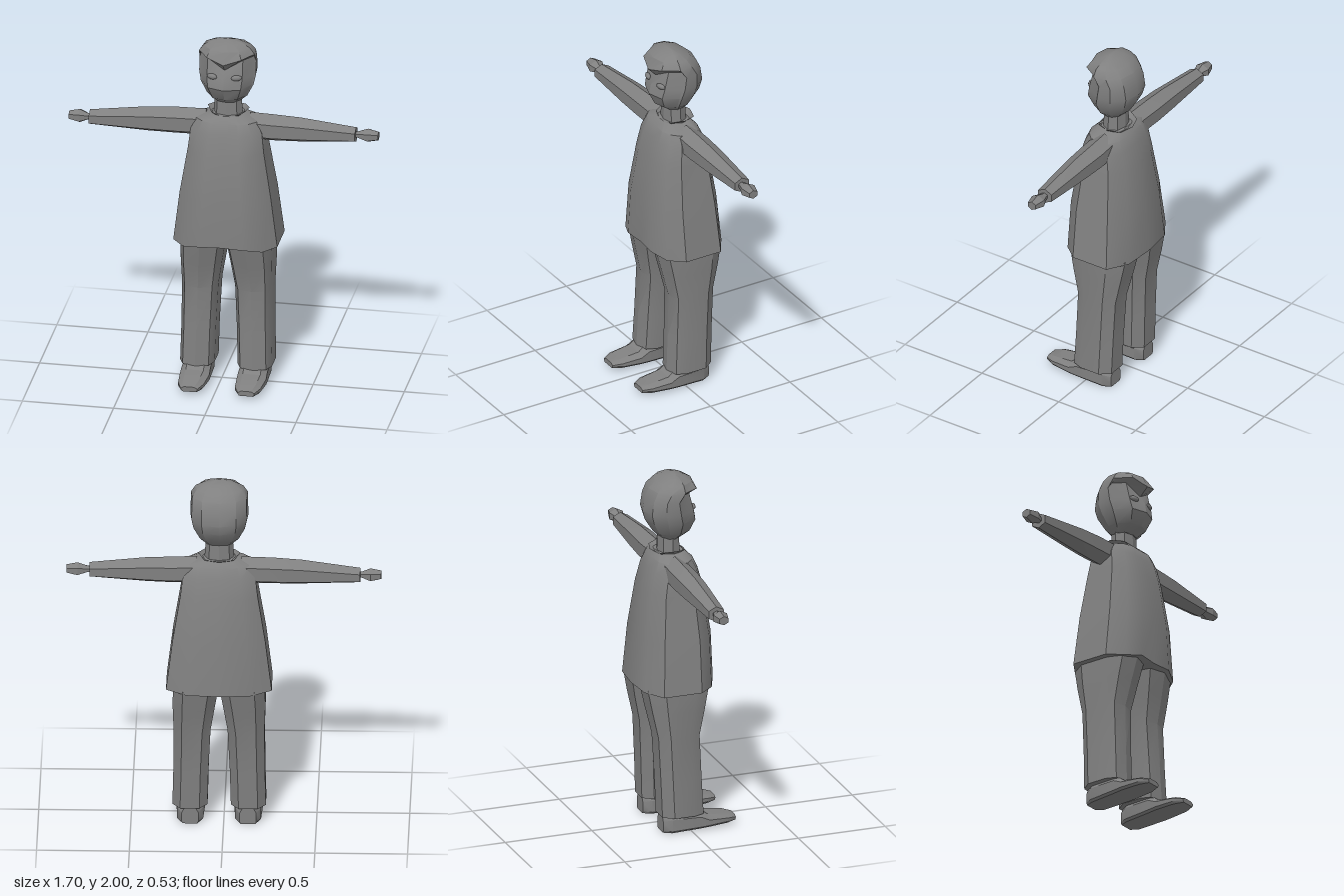
import * as THREE from 'three';
import { toCreasedNormals } from 'three/addons/utils/BufferGeometryUtils.js';

const CX = 0.025; // centre line of the body

// Skin a list of equal-length rings of [x, y, z] points, with optional end caps
function loft(rings, caps = true, crease = 0.7) {
  const tris = [];
  const n = rings[0].length;
  for (let r = 0; r < rings.length - 1; r++) {
    for (let i = 0; i < n; i++) {
      const j = (i + 1) % n, a = rings[r], b = rings[r + 1];
      tris.push([a[i], a[j], b[j]], [a[i], b[j], b[i]]);
    }
  }
  if (caps) {
    [rings[0], rings[rings.length - 1]].forEach((ring, end) => {
      const mid = [0, 1, 2].map(k => ring.reduce((s, p) => s + p[k], 0) / n);
      for (let i = 0; i < n; i++) {
        const j = (i + 1) % n;
        tris.push(end ? [ring[i], ring[j], mid] : [ring[j], ring[i], mid]);
      }
    });
  }
  // Turn the faces outwards if the enclosed volume is negative
  const V = p => new THREE.Vector3(...p);
  const volume = tris.reduce((s, [a, b, c]) => s + V(a).dot(V(b).cross(V(c))), 0);
  const flat = tris.flatMap(([a, b, c]) => (volume < 0 ? [a, c, b] : [a, b, c])).flat();
  const geo = new THREE.BufferGeometry();
  geo.setAttribute('position', new THREE.Float32BufferAttribute(flat, 3));
  return toCreasedNormals(geo, crease);
}

// Mirror a half plan [x, t], running from front centre to back centre
const fullPlan = half => [...half, ...half.slice(1, -1).reverse().map(([x, t]) => [-x, t])];

// Horizontal ring: plan stretched to half width hx and from zBack to zFront
function ring(plan, y, hx, zFront, zBack, lift = () => 0, cx = CX) {
  const mid = (zFront + zBack) / 2, half = (zFront - zBack) / 2;
  return plan.map(([x, t]) => [cx + x * hx, y + lift(x, t), mid + t * half]);
}

export function createModel() {
  const model = new THREE.Group();
  const grey = new THREE.MeshStandardMaterial({ color: 0x808080 });
  grey.name = 'plain grey';
  const greyOpen = grey.clone();
  greyOpen.side = THREE.DoubleSide;
  const add = (name, geo, mat = grey) => {
    const mesh = new THREE.Mesh(geo, mat);
    mesh.name = name;
    model.add(mesh);
    return mesh;
  };

  // Long coat, flaring to the hem, with a shallow front opening
  const coatPlan = fullPlan([[0, 0.95], [0.42, 1], [0.76, 0.8], [1, 0.42], [1, -0.6], [0.6, -0.94], [0, -1]]);
  const hem = (x, t) => (t > 0.9 ? 0.02 : 0);
  add('coat', loft([
    ring(coatPlan, 0.815, 0.285, 0.16, -0.265, hem),
    ring(coatPlan, 1.10, 0.25, 0.153, -0.243),
    ring(coatPlan, 1.36, 0.208, 0.115, -0.205),
    ring(coatPlan, 1.47, 0.195, 0.085, -0.175),
    ring(coatPlan, 1.53, 0.165, 0.06, -0.15),
    ring(coatPlan, 1.56, 0.09, 0.025, -0.12),
  ], true, 0.6));

  // Neck and flared collar
  const round = fullPlan([[0, 1], [0.7, 0.75], [1, 0], [0.7, -0.75], [0, -1]]);
  add('neck', loft([
    ring(round, 1.53, 0.082, 0.01, -0.115),
    ring(round, 1.67, 0.072, 0.005, -0.11),
  ], true, 0.5));
  add('collar', loft([
    ring(round, 1.55, 0.08, 0.015, -0.12),
    ring(round, 1.572, 0.115, 0.03, -0.158, (x, t) => (Math.abs(x) > 0.9 ? 0.012 : t > 0.9 ? -0.02 : 0)),
  ], false), greyOpen);

  // Head with a small step at the hairline, and a fringe pointed at the centre
  const headPlan = fullPlan([[0, 1], [0.62, 0.8], [0.93, 0.22], [1, 0.16], [0.95, -0.4], [0.6, -0.85], [0, -1]]);
  const fringe = drop => (x, t) => (t > 0.9 ? -drop : 0);
  add('head', loft([
    ring(headPlan, 1.637, 0.07, 0.01, -0.1),
    ring(headPlan, 1.675, 0.11, 0.065, -0.14),
    ring(headPlan, 1.745, 0.145, 0.1, -0.185),
    ring(headPlan, 1.80, 0.156, 0.088, -0.2),
    ring(headPlan, 1.905, 0.155, 0.058, -0.185, (x, t) => (t > 0.9 ? -0.055 : t > 0.2 ? 0 : -0.03)),
    ring(headPlan, 1.925, 0.153, 0.105, -0.165, fringe(0.028)),
    ring(headPlan, 1.962, 0.128, 0.075, -0.125),
    ring(headPlan, 1.985, 0.085, 0.03, -0.075),
    ring(headPlan, 2.0, 0.025, -0.015, -0.03),
  ], true, 0.5));

  const legPlan = fullPlan([[0, 1], [0.75, 0.85], [1, 0.4], [1, -0.55], [0.55, -1], [0, -1]]);
  // Limb ring across x, six-sided, from y and z extents
  const armRing = (x, y0, y1, z0, z1) => [0, 1, 2, 3, 4, 5].map(i => {
    const a = i * Math.PI / 3 + Math.PI / 2;
    return [x, (y0 + y1) / 2 + Math.sin(a) * (y1 - y0) / 2, (z0 + z1) / 2 + Math.cos(a) / 0.866 * (z1 - z0) / 2];
  });

  for (const [s, side] of [[1, 'left'], [-1, 'right']]) {
    // Eye
    const eye = add(side + 'Eye', new THREE.SphereGeometry(1, 10, 6));
    eye.scale.set(0.03, 0.016, 0.014);
    eye.position.set(CX + s * 0.067, 1.812, 0.066);
    eye.rotation.y = s * 0.3;

    // Sleeve and hand; the right arm hangs slightly lower
    const low = s < 0 ? -0.018 : 0;
    const reach = s < 0 ? 0.735 : 0.725;
    add(side + 'Sleeve', loft([
      armRing(s * 0.12 + CX, 1.405, 1.56, -0.125, 0.005),
      armRing(s * 0.27, 1.402, 1.556, -0.128, 0.005),
      armRing(s * 0.42, 1.408 + low * 0.3, 1.55 + low * 0.3, -0.122, 0.0),
      armRing(s * reach, 1.432 + low, 1.518 + low, -0.105, -0.018),
    ], true, 0.5));
    add(side + 'Hand', loft([
      armRing(s * (reach - 0.02), 1.462 + low, 1.492 + low, -0.078, -0.042),
      armRing(s * (reach + 0.01), 1.458 + low, 1.495 + low, -0.08, -0.04),
      armRing(s * 0.79, 1.438 + low, 1.515 + low, -0.1, -0.022),
      armRing(s * 0.848, 1.452 + low, 1.502 + low, -0.085, -0.035),
    ], true, 0.5));

    // Trouser leg: height, inner x, outer x, front z, back z
    add(side + 'TrouserLeg', loft([
      [0.095, 0.063, 0.252, 0.085, -0.163],
      [0.30, 0.058, 0.247, 0.075, -0.17],
      [0.55, 0.046, 0.245, 0.065, -0.182],
      [0.70, 0.022, 0.25, 0.1, -0.215],
      [0.83, 0.0, 0.248, 0.13, -0.24],
    ].map(([y, inner, outer, zf, zb]) =>
      ring(legPlan, y, (outer - inner) / 2, zf, zb, undefined, CX + s * (inner + outer) / 2)), true, 0.5));

    // Shoe, from heel to toe: z, half width, sole height, top height
    add(side + 'Shoe', loft([
      [-0.155, 0.045, 0.002, 0.1],
      [-0.11, 0.07, 0.0, 0.12],
      [0.05, 0.078, 0.008, 0.115],
      [0.1, 0.08, 0.012, 0.078],
      [0.21, 0.07, 0.018, 0.065],
      [0.262, 0.045, 0.022, 0.05],
    ].map(([z, w, y0, y1]) => {
      const x = CX + s * 0.156, side1 = y0 + (y1 - y0) * 0.65;
      return [[-0.85, y0], [0.85, y0], [1, y0 + 0.012], [1, side1], [0.6, y1], [-0.6, y1], [-1, side1], [-1, y0 + 0.012]]
        .map(([u, y]) => [x + u * w, y, z]);
    }), true, 0.5));
  }
  return model;
}
